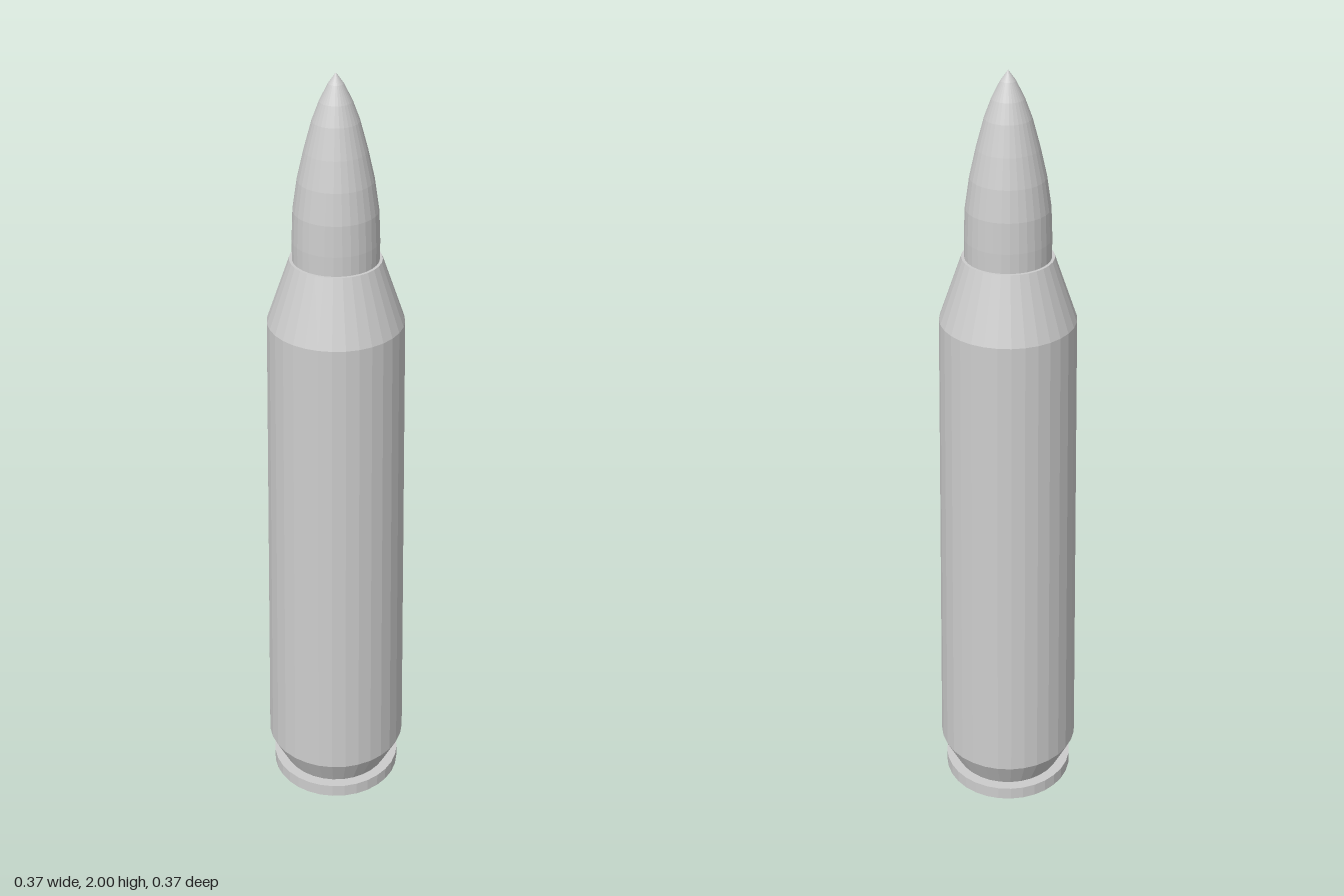
import * as THREE from 'three';

const SIDES = 32;

// Faceted surface of revolution from [radius, height] pairs, bottom to top
function turned(name, profile, material) {
  const points = profile.map(([r, y]) => new THREE.Vector2(r, y));
  const geometry = new THREE.LatheGeometry(points, SIDES).toNonIndexed();
  geometry.computeVertexNormals();
  const mesh = new THREE.Mesh(geometry, material);
  mesh.name = name;
  return mesh;
}

export function createModel() {
  const group = new THREE.Group();
  group.name = 'cartridge';
  const metal = new THREE.MeshStandardMaterial({ color: 0xcccccc });
  metal.name = 'greyMetal';

  // Flat base disc with its thin rim
  group.add(turned('rim', [[0, 0], [0.173, 0], [0.173, 0.036], [0.146, 0.036]], metal));

  // Groove flare, tapered body, shoulder and mouth lip
  group.add(turned('case', [
    [0.146, 0.036], [0.186, 0.118], [0.167, 1.39], [0.111, 1.552], [0.103, 1.552],
  ], metal));

  // Pointed tip with a curved ogive
  group.add(turned('tip', [
    [0.104, 1.54], [0.104, 1.6], [0.101, 1.675], [0.09, 1.75], [0.074, 1.82],
    [0.055, 1.89], [0.038, 1.935], [0.018, 1.975], [0, 2],
  ], metal));

  return group;
}
